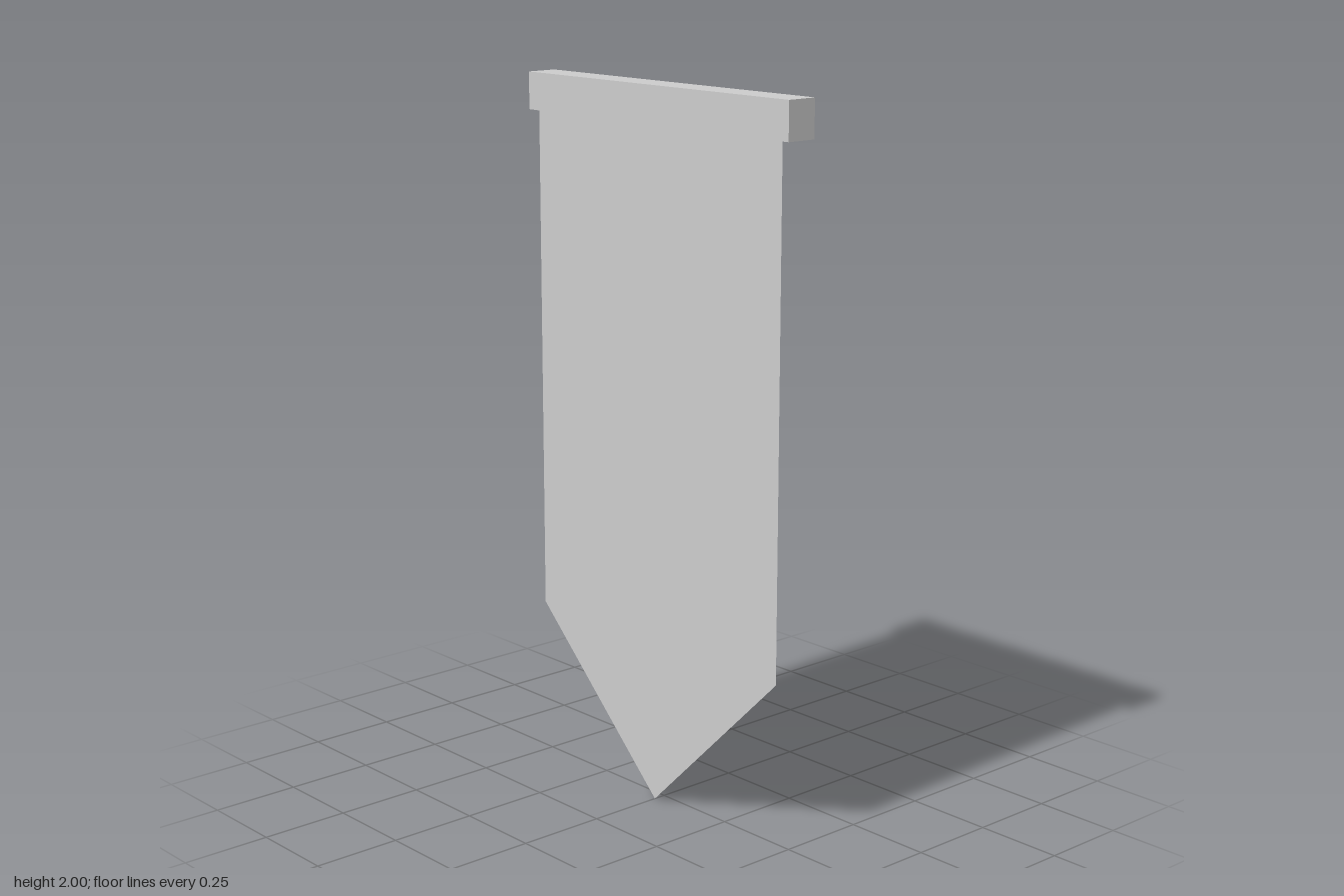
import * as THREE from 'three';

export function createModel() {
  const group = new THREE.Group();

  // Square rail along the top
  const rail = new THREE.Mesh(
    new THREE.BoxGeometry(1.022, 0.104, 0.09),
    new THREE.MeshStandardMaterial({ color: 0xcccccc, flatShading: true })
  );
  rail.name = 'rail';
  rail.position.y = 1.948;
  group.add(rail);

  // Thin cloth with a pointed lower end, hung near the front of the rail
  const outline = new THREE.Shape([
    new THREE.Vector2(0, 0),
    new THREE.Vector2(0.48, 0.468),
    new THREE.Vector2(0.48, 1.9),
    new THREE.Vector2(-0.48, 1.9),
    new THREE.Vector2(-0.48, 0.468),
  ]);
  const cloth = new THREE.Mesh(
    new THREE.ShapeGeometry(outline),
    new THREE.MeshStandardMaterial({ color: 0xcccccc, flatShading: true, side: THREE.DoubleSide })
  );
  cloth.name = 'cloth';
  cloth.position.z = 0.035;
  group.add(cloth);

  return group;
}
